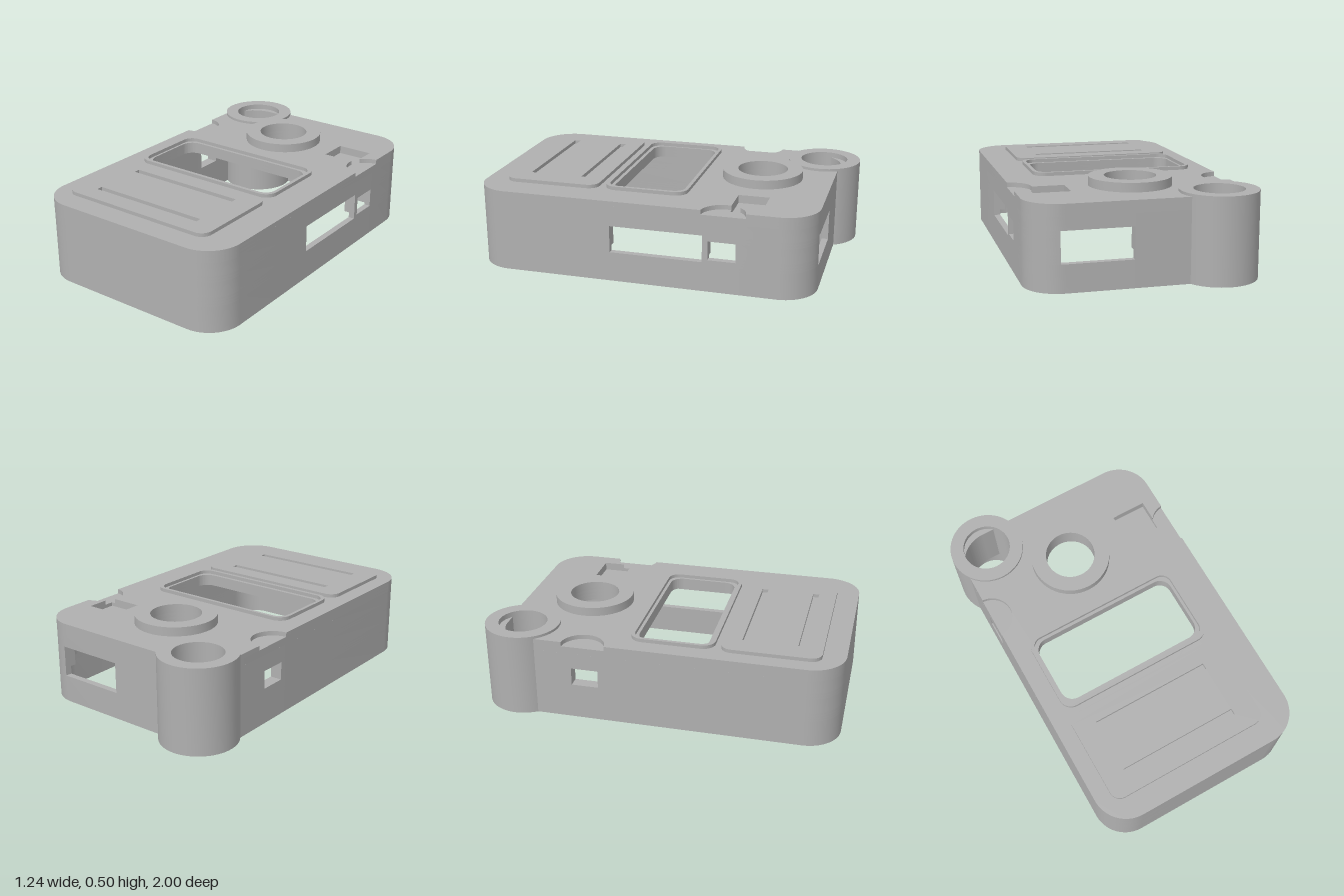
import * as THREE from 'three';
import { toCreasedNormals } from 'three/addons/utils/BufferGeometryUtils.js';

// Plans are drawn in (x, v) with v = -z, then extruded upwards.
const X0 = -0.58, X1 = 0.615, V0 = -1, V1 = 0.89, R = 0.19;
const KEY = { x: -0.41, v: 0.79, outer: 0.21, inner: 0.135 };
const RING = { x: -0.015, v: 0.495, outer: 0.225, inner: 0.14 };
const deg = Math.PI / 180;

function roundRect(p, x0, v0, x1, v1, r) {
  p.absarc(x1 - r, v0 + r, r, -90 * deg, 0);
  p.absarc(x1 - r, v1 - r, r, 0, 90 * deg);
  p.absarc(x0 + r, v1 - r, r, 90 * deg, 180 * deg);
  p.absarc(x0 + r, v0 + r, r, 180 * deg, 270 * deg);
  p.closePath();
  return p;
}
const rectShape = (...a) => roundRect(new THREE.Shape(), ...a);
const rectHole = (...a) => roundRect(new THREE.Path(), ...a);
const circleHole = (x, v, r) => new THREE.Path().absarc(x, v, r, 0, Math.PI * 2);

function ringShape(c) {
  const s = new THREE.Shape().absarc(c.x, c.v, c.outer, 0, Math.PI * 2);
  s.holes.push(circleHole(c.x, c.v, c.inner));
  return s;
}

// Outline of the top plate; the back corner makes room for the tube.
function plateShape(notched) {
  const s = new THREE.Shape();
  s.absarc(X1 - R, V0 + R, R, -90 * deg, 0);
  if (notched) {
    // finger notch running into the square pocket
    s.absarc(0.625, 0.41, 0.12, 265.2 * deg, 170.4 * deg, true);
    s.lineTo(0.33, 0.43);
    s.lineTo(0.33, 0.6);
    s.lineTo(0.53, 0.6);
    s.absarc(0.625, 0.41, 0.12, 142.5 * deg, 94.8 * deg, true);
  }
  s.absarc(X1 - R, V1 - R, R, 0, 90 * deg);
  s.absarc(KEY.x, KEY.v, 0.19, 31.8 * deg, -153.4 * deg, true);
  if (notched) s.absarc(-0.585, 0.39, 0.12, 87.6 * deg, -87.6 * deg, true);
  s.absarc(X0 + R, V0 + R, R, 180 * deg, 270 * deg);
  s.closePath();
  s.holes.push(rectHole(-0.45, -0.265, 0.4, 0.125, 0.07));
  s.holes.push(circleHole(RING.x, RING.v, RING.inner));
  return s;
}

// Wall stations: [x, v, nx, nv], with the openings marked by station index.
function wallStations() {
  const pts = [], mark = {};
  const add = (x, v, nx, nv, name) => {
    if (name) mark[name] = pts.length;
    pts.push([x, v, nx, nv]);
  };
  const corner = (cx, cv, a0, names = {}) => {
    for (let i = 0; i <= 12; i++) {
      const a = (a0 + i * 7.5) * deg, c = Math.cos(a), s = Math.sin(a);
      add(cx + R * c, cv + R * s, c, s, names[i]);
    }
  };
  corner(X1 - R, V0 + R, -90);
  add(X1, -0.21, 1, 0, 'long0');
  add(X1, 0.3, 1, 0, 'long1');
  add(X1, 0.33, 1, 0, 'short0');
  add(X1, 0.48, 1, 0, 'short1');
  corner(X1 - R, V1 - R, 0, { 11: 'back0' });
  add(0.07, V1, 0, 1, 'back1');
  add(-0.25, V1, 0, 1, 'tube0');
  corner(X0 + R, V1 - R, 90, { 12: 'tube1' });
  add(X0, 0.46, -1, 0, 'side0');
  add(X0, 0.31, -1, 0, 'side1');
  corner(X0 + R, V0 + R, 180);
  pts.push(pts[0]);
  return { pts, mark };
}

export function createModel() {
  const model = new THREE.Group();
  const grey = new THREE.MeshStandardMaterial({ color: 0xb0b0b0 });
  grey.name = 'grey plastic';

  function extrude(name, shape, y0, y1, parent = model) {
    let geo = new THREE.ExtrudeGeometry(shape, { depth: y1 - y0, bevelEnabled: false, curveSegments: 24 });
    geo.rotateX(-Math.PI / 2);
    geo.translate(0, y0, 0);
    geo = toCreasedNormals(geo, 30 * deg);
    const mesh = new THREE.Mesh(geo, grey);
    mesh.name = name;
    parent.add(mesh);
    return mesh;
  }

  // Side walls in height bands, thinner below the inner ledge
  const walls = new THREE.Group();
  walls.name = 'sideWalls';
  model.add(walls);
  const ledge = 0.195, wallTop = 0.39;
  const openings = [
    ['long', 0.165, 0.315], ['short', 0.18, 0.285], ['back', 0.15, 0.32],
    ['tube', 0, wallTop], ['side', 0.2, 0.3],
  ];
  const { pts, mark } = wallStations();
  const levels = [...new Set([0, ledge, wallTop, ...openings.flatMap(o => [o[1], o[2]])])].sort((a, b) => a - b);
  for (let k = 0; k < levels.length - 1; k++) {
    const y0 = levels[k], y1 = levels[k + 1];
    const thick = y1 <= ledge ? 0.035 : 0.065;
    const gaps = openings
      .filter(o => o[1] <= y0 && o[2] >= y1)
      .map(o => [mark[o[0] + '0'], mark[o[0] + '1']])
      .sort((a, b) => a[0] - b[0]);
    let start = 0;
    for (const [g0, g1] of [...gaps, [pts.length - 1, 0]]) {
      const run = pts.slice(start, g0 + 1);
      const outer = run.map(p => new THREE.Vector2(p[0], p[1]));
      const inner = run.map(p => new THREE.Vector2(p[0] - p[2] * thick, p[1] - p[3] * thick));
      extrude('wallSection', new THREE.Shape([...outer, ...inner.reverse()]), y0, y1, walls);
      start = g1;
    }
  }

  // Top plate in layers: pocket floor, pocket, then the notched skin
  extrude('topPlateBase', plateShape(false), wallTop, 0.41);
  const middle = plateShape(false);
  middle.holes.push(new THREE.Path([[0.33, 0.43], [0.53, 0.43], [0.53, 0.6], [0.33, 0.6]].map(p => new THREE.Vector2(...p))));
  extrude('topPlateMiddle', middle, 0.41, 0.43);
  extrude('topPlateSkin', plateShape(true), 0.43, 0.455);

  // Corner tube, with a crescent filling the part of its bore outside the body
  extrude('cornerTube', ringShape(KEY), 0, 0.47);
  const crescent = new THREE.Shape();
  crescent.absarc(KEY.x, KEY.v, 0.15, 42 * deg, 197 * deg);
  crescent.absarc(X0 + R, V1 - R, R, 172 * deg, 90 * deg, true);
  crescent.closePath();
  extrude('tubeCrescent', crescent, 0.1, 0.44);

  // Raised ring around the round opening
  extrude('roundCollar', ringShape(RING), 0.455, 0.505);

  // Window bezel
  const bezel = rectShape(-0.48, -0.305, 0.435, 0.16, 0.07);
  bezel.holes.push(rectHole(-0.462, -0.285, 0.415, 0.142, 0.06));
  extrude('windowBezel', bezel, 0.455, 0.475);

  // Raised front panel with two grooves
  const panel = rectShape(-0.49, -0.875, 0.445, -0.34, 0.06);
  for (const v of [-0.775, -0.475]) {
    panel.holes.push(new THREE.Path([[-0.365, v], [0.315, v], [0.315, v + 0.035], [-0.365, v + 0.035]].map(p => new THREE.Vector2(...p))));
  }
  extrude('frontPanel', panel, 0.455, 0.475);

  return model;
}
